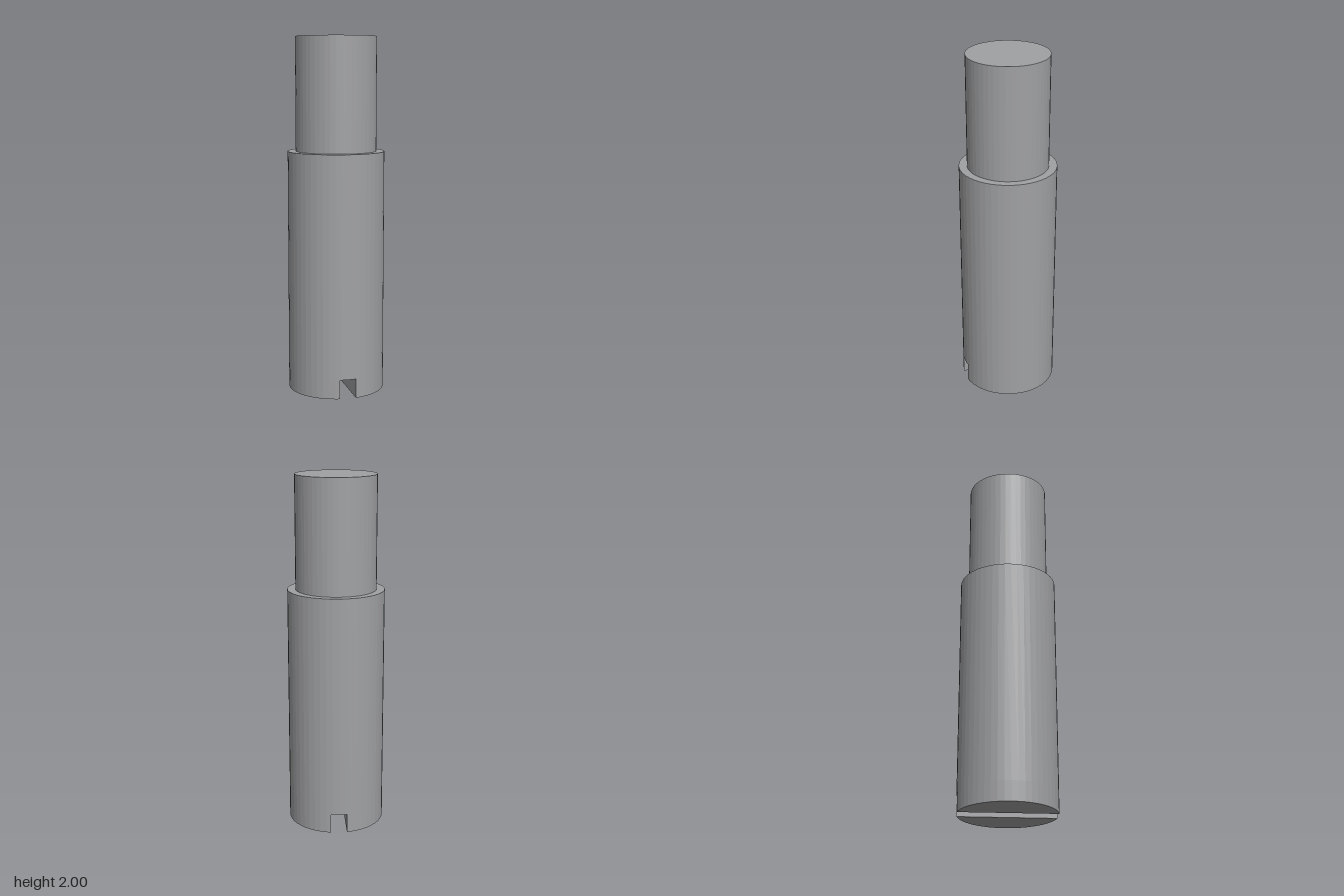
import * as THREE from 'three';

const SIDES = 48;
const BODY_R = 0.2727, TIP_R = 0.2273;
const SLOT_HALF = 0.0455, SLOT_TOP = 0.109, STEP_Y = 1.3636, TOP_Y = 2;

// Circle segment on the +x side of the slot, extruded up from the ground
function slotJaw() {
  const limit = Math.acos(SLOT_HALF / BODY_R);
  const step = (Math.PI * 2) / SIDES;
  const angles = [-limit];
  const n = Math.floor(limit / step);
  for (let i = -n; i <= n; i++) angles.push(i * step);
  angles.push(limit);
  const points = angles.map(a => new THREE.Vector2(Math.cos(a) * BODY_R, Math.sin(a) * BODY_R));
  const geometry = new THREE.ExtrudeGeometry(new THREE.Shape(points), { depth: SLOT_TOP, bevelEnabled: false });
  return geometry.rotateX(-Math.PI / 2);
}

export function createModel() {
  const model = new THREE.Group();
  model.name = 'slottedPin';
  const steel = new THREE.MeshStandardMaterial({ color: 0xa0a1a3, flatShading: true });
  steel.name = 'grey steel';

  // Stepped shaft: wide body below, narrower tip above
  const profile = [
    [0, SLOT_TOP], [BODY_R, SLOT_TOP], [BODY_R, STEP_Y],
    [TIP_R, STEP_Y], [TIP_R, TOP_Y], [0, TOP_Y],
  ].map(([x, y]) => new THREE.Vector2(x, y));
  const shaft = new THREE.Mesh(new THREE.LatheGeometry(profile, SIDES), steel);
  shaft.name = 'steppedShaft';
  model.add(shaft);

  // Two jaws leave a straight screwdriver slot running front to back
  const jaw = slotJaw();
  for (const [name, turn] of [['leftSlotJaw', 0], ['rightSlotJaw', Math.PI]]) {
    const mesh = new THREE.Mesh(jaw, steel);
    mesh.name = name;
    mesh.rotation.y = turn;
    model.add(mesh);
  }
  return model;
}
